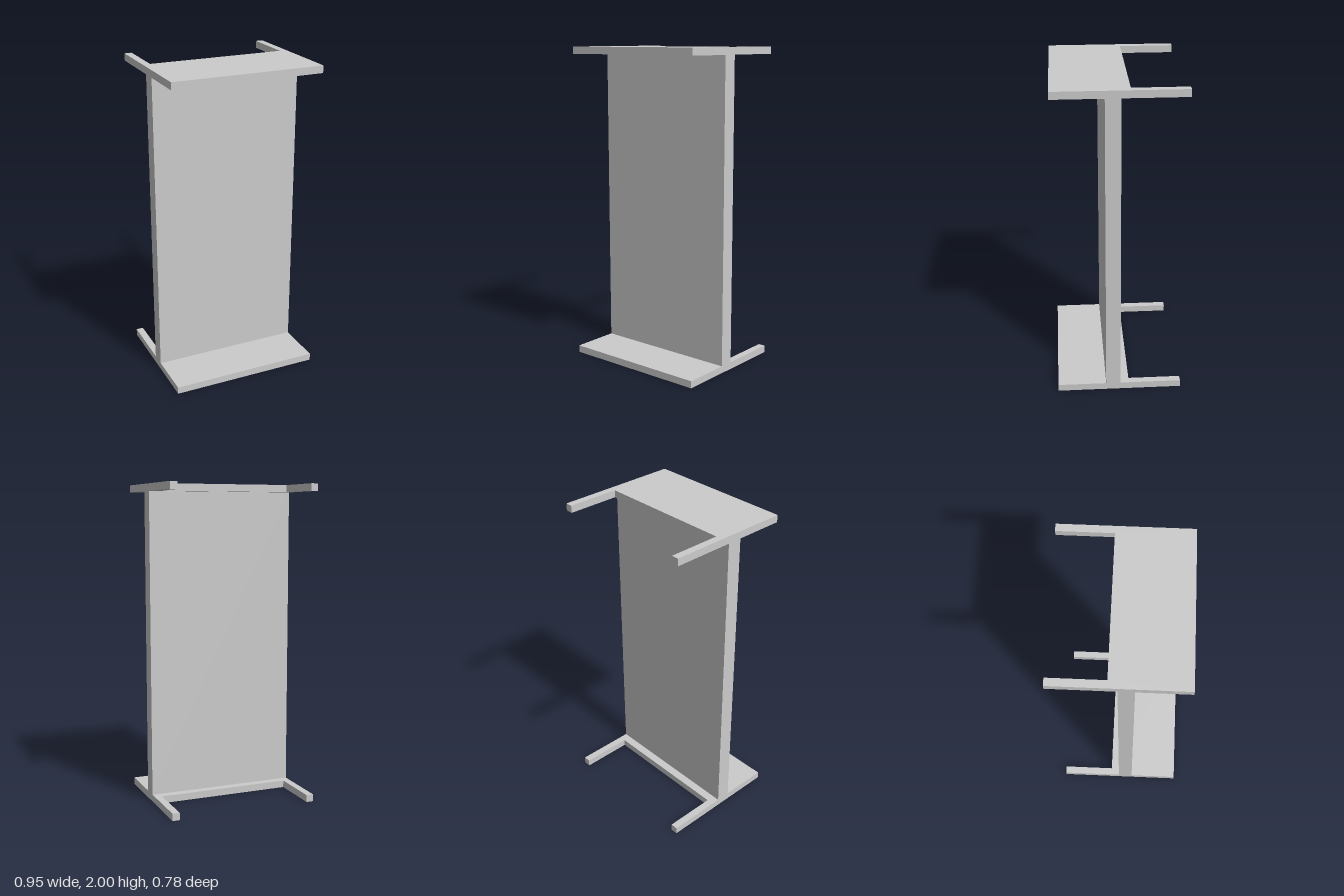
import * as THREE from 'three';

const HEIGHT = 2, HALF_W = 0.475, HALF_D = 0.392, PLATE = 0.045;
const ARM_X = 0.429, NOTCH_Z = -0.061;
const WEB_FRONT = 0.085, WEB_BACK = -0.007;

export function createModel() {
  const model = new THREE.Group();
  model.name = 'plateStand';
  const material = new THREE.MeshStandardMaterial({ color: 0xcccccc, flatShading: true });

  // Plate outline in x and z: a slab with two arms reaching back
  const outline = new THREE.Shape([
    [-HALF_W, HALF_D], [-HALF_W, -HALF_D], [-ARM_X, -HALF_D], [-ARM_X, NOTCH_Z],
    [ARM_X, NOTCH_Z], [ARM_X, -HALF_D], [HALF_W, -HALF_D], [HALF_W, HALF_D],
  ].map(([x, z]) => new THREE.Vector2(x, z)));
  const plateGeometry = new THREE.ExtrudeGeometry(outline, { depth: PLATE, bevelEnabled: false });
  plateGeometry.rotateX(Math.PI / 2); // top face at y = 0, outline y becomes z

  // Matching base and top plates
  for (const [name, top] of [['basePlate', PLATE], ['topPlate', HEIGHT]]) {
    const plate = new THREE.Mesh(plateGeometry, material);
    plate.name = name;
    plate.position.y = top;
    model.add(plate);
  }

  // Upright panel between the plates
  const panel = new THREE.Mesh(
    new THREE.BoxGeometry(2 * HALF_W, HEIGHT - 2 * PLATE, WEB_FRONT - WEB_BACK), material);
  panel.name = 'uprightPanel';
  panel.position.set(0, HEIGHT / 2, (WEB_FRONT + WEB_BACK) / 2);
  model.add(panel);

  return model;
}
